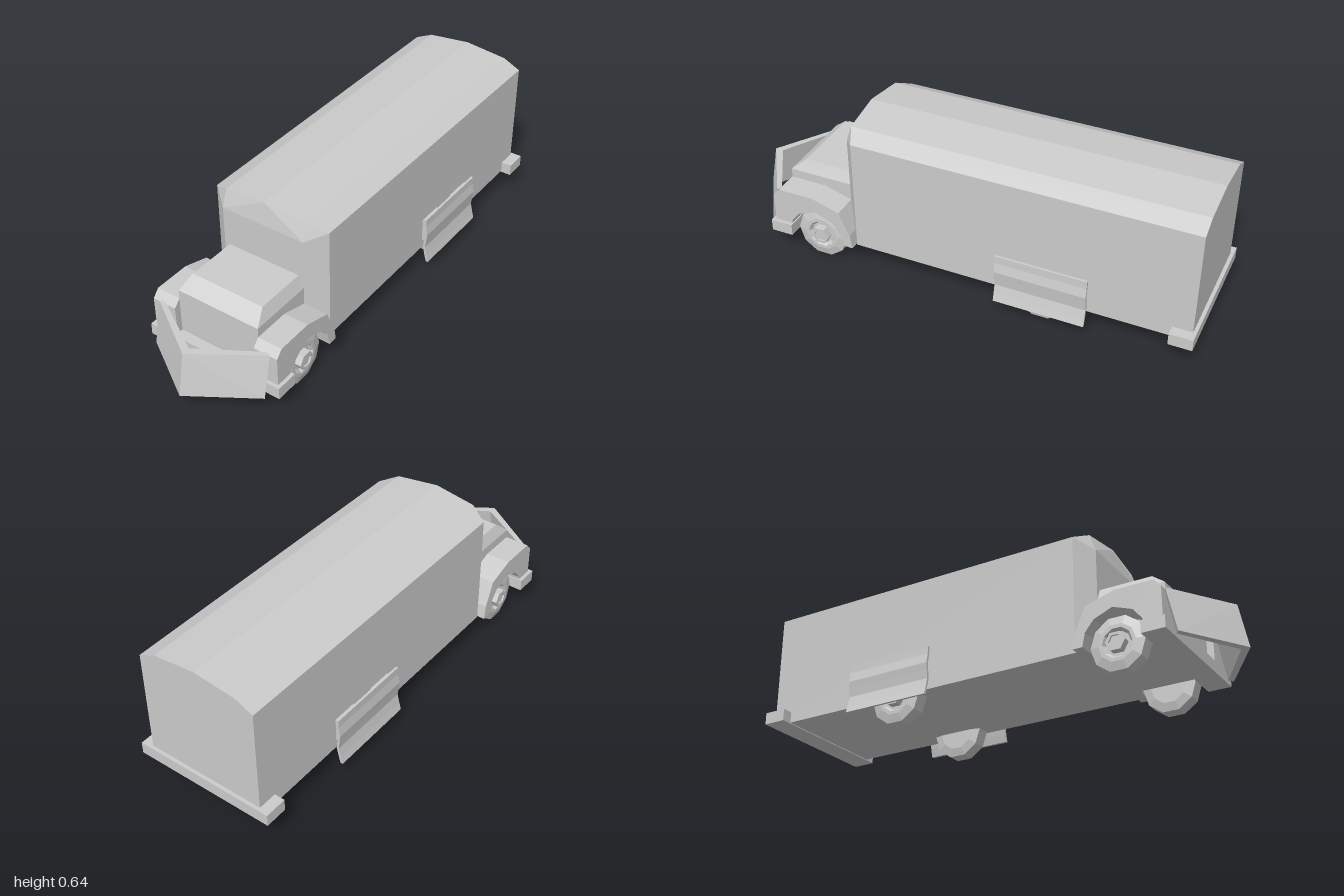
import * as THREE from 'three';
import { ConvexGeometry } from 'three/addons/geometries/ConvexGeometry.js';

const material = new THREE.MeshStandardMaterial({ color: 0xcccccc, flatShading: true });

function add(parent, name, geometry, x = 0, y = 0, z = 0) {
  const mesh = new THREE.Mesh(geometry, material);
  mesh.name = name;
  mesh.position.set(x, y, z);
  parent.add(mesh);
  return mesh;
}

const hull = (points) => new ConvexGeometry(points.map((p) => new THREE.Vector3(...p)));
const mirrored = (points) => points.flatMap(([x, y, z]) => (x === 0 ? [[x, y, z]] : [[x, y, z], [-x, y, z]]));
const outline = (points) => new THREE.Shape(points.map((p) => new THREE.Vector2(...p)));

// Ten-sided tyre with a recessed rim and a hexagonal hub, outer face towards +x
function makeWheel(name) {
  const wheel = new THREE.Group();
  wheel.name = name;
  const profile = [[0, -0.037], [0.075, -0.037], [0.11, -0.028], [0.11, 0.028], [0.075, 0.037],
    [0.06, 0.037], [0.05, 0.022], [0, 0.022]].map((p) => new THREE.Vector2(...p));
  add(wheel, 'tyre', new THREE.LatheGeometry(profile, 10).rotateZ(-Math.PI / 2));
  const hub = [[0.04, 0.02], [0.04, 0.052], [0.027, 0.052], [0.027, 0.045], [0, 0.045]];
  add(wheel, 'hub', new THREE.LatheGeometry(hub.map((p) => new THREE.Vector2(...p)), 6).rotateZ(-Math.PI / 2));
  return wheel;
}

export function createModel() {
  const truck = new THREE.Group();
  truck.name = 'truck';

  // Long body with a faceted roof and chamfered front corners
  add(truck, 'body', hull(mirrored([
    [0.26, 0.11, -0.985], [0.26, 0.595, -0.985], [0.185, 0.63, -0.985], [0, 0.65, -0.985],
    [0.26, 0.11, 0.43], [0.26, 0.595, 0.43], [0.185, 0.11, 0.49], [0.185, 0.557, 0.49],
    [0.185, 0.63, 0.465], [0, 0.65, 0.475],
  ])));

  // Bonnet with a bevelled top
  add(truck, 'bonnet', hull(mirrored([
    [0.185, 0.11, 0.45], [0.185, 0.345, 0.45], [0.162, 0.395, 0.45],
    [0.185, 0.11, 0.765], [0.185, 0.345, 0.765], [0.162, 0.395, 0.705],
  ])));

  // Bumpers
  add(truck, 'frontBumper', new THREE.BoxGeometry(0.61, 0.05, 0.095), 0, 0.126, 0.76);
  add(truck, 'rearBumper', new THREE.BoxGeometry(0.61, 0.05, 0.095), 0, 0.131, -0.952);

  // V-shaped ram, one slanted plate per side
  for (const s of [1, -1]) {
    add(truck, s > 0 ? 'leftRamPlate' : 'rightRamPlate', hull([
      [0, 0.1, 1], [0, 0.28, 0.965], [0, 0.1, 0.965], [0, 0.28, 0.93],
      [s * 0.26, 0.1, 0.835], [s * 0.26, 0.28, 0.795],
      [s * 0.24, 0.1, 0.82], [s * 0.24, 0.28, 0.785],
    ]));
  }

  // Front wings with an open wheel arch
  const wingShape = outline([
    [0.435, 0.11], [0.445, 0.17], [0.49, 0.27], [0.61, 0.306], [0.765, 0.306], [0.793, 0.275], [0.793, 0.11],
    [0.725, 0.11], [0.715, 0.165], [0.68, 0.21], [0.6, 0.24], [0.525, 0.21], [0.487, 0.165], [0.475, 0.11],
  ]);
  const wing = new THREE.ExtrudeGeometry(wingShape, { depth: 0.105, bevelEnabled: false }).rotateY(-Math.PI / 2);
  add(truck, 'leftWing', wing, 0.29);
  add(truck, 'rightWing', wing, -0.185);

  // Corrugated armour panel over each rear wheel
  const outer = [[0.309, 0.07], [0.301, 0.1], [0.292, 0.14], [0.296, 0.175], [0.3, 0.205], [0.293, 0.245], [0.292, 0.277]];
  const inner = outer.map(([x, y]) => [x - 0.01, y]).reverse();
  const panel = new THREE.ExtrudeGeometry(outline([...outer, ...inner]), { depth: 0.376, bevelEnabled: false });
  panel.translate(0, 0, -0.188);

  for (const s of [1, -1]) {
    const side = s > 0 ? 'left' : 'right';
    const turn = s > 0 ? 0 : Math.PI;

    for (const [end, z] of [['Front', 0.598], ['Rear', -0.375]]) {
      const wheel = makeWheel(side + end + 'Wheel');
      wheel.position.set(s * 0.223, 0.112, z);
      wheel.rotation.y = turn;
      truck.add(wheel);
    }

    add(truck, side + 'ArmourPanel', panel, 0, 0, -0.387).rotation.y = turn;

    // Brackets that hold the panel off the body
    for (const z of [-0.495, -0.28]) {
      add(truck, side + 'PanelBracket', new THREE.BoxGeometry(0.035, 0.1, 0.11), s * 0.27, 0.2, z);
    }
  }

  return truck;
}
